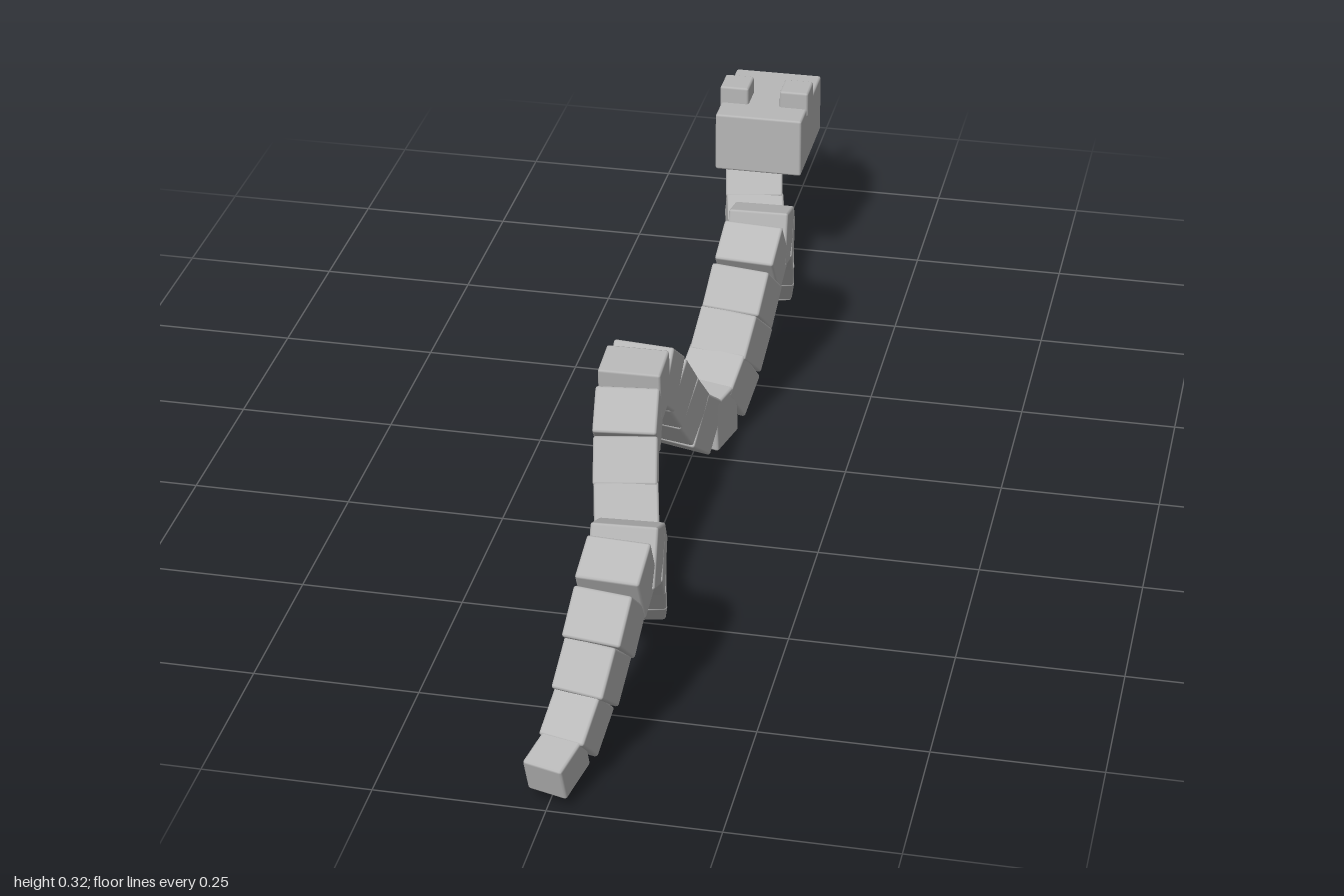
import * as THREE from 'three';
import { RoundedBoxGeometry } from 'three/addons/geometries/RoundedBoxGeometry.js';

// Centre line of the body: a tall wave in y, a slower sway in x
class BodyCurve extends THREE.Curve {
  getPoint(t, target = new THREE.Vector3()) {
    const z = -0.725 + t * 1.713;
    const y = 0.156 + 0.104 * Math.cos((2 * Math.PI * (z + 0.313)) / 0.515);
    const x = 0.048 * Math.cos((2 * Math.PI * (z + 0.313)) / 1.03);
    return target.set(x, y, z);
  }
}

export function createModel() {
  const model = new THREE.Group();
  model.name = 'snake';
  const grey = new THREE.MeshStandardMaterial({ color: 0xb8b8b8 });
  grey.name = 'grey';

  const block = (name, w, h, d, x, y, z, radius = 0.004, parent = model) => {
    const mesh = new THREE.Mesh(new RoundedBoxGeometry(w, h, d, 1, radius), grey);
    mesh.name = name;
    mesh.position.set(x, y, z);
    parent.add(mesh);
    return mesh;
  };

  // Body: blocks strung along the curve, tapering over the last few
  const body = new THREE.Group();
  body.name = 'body';
  model.add(body);
  const count = 32;
  const curve = new BodyCurve();
  curve.arcLengthDivisions = 800;
  const points = curve.getSpacedPoints(count);
  const taper = [0.63, 0.72, 0.81, 0.9, 0.96];
  for (let i = 0; i < count; i++) {
    const a = points[i], b = points[i + 1];
    const fromTail = count - 1 - i;
    const s = fromTail < taper.length ? taper[fromTail] : 1;
    const mid = a.clone().add(b).multiplyScalar(0.5);
    const segment = block(fromTail < taper.length ? 'tailSegment' : 'bodySegment',
      0.098 * s, 0.09 * s, a.distanceTo(b) + 0.003, mid.x, mid.y, mid.z, 0.004, body);
    segment.lookAt(b);
  }

  // Head and snout, facing the back
  const cx = -0.019;
  block('head', 0.15, 0.104, 0.194, cx, 0.252, -0.752);
  block('snout', 0.122, 0.07, 0.08, cx, 0.24, -0.87);

  // Eyes with thin pupils on their forward faces
  for (const side of [-1, 1]) {
    const x = cx + side * 0.052;
    block('eye', 0.05, 0.045, 0.054, x, 0.311, -0.733);
    block('pupil', 0.03, 0.018, 0.008, x, 0.316, -0.761, 0.002);
  }

  // Forked tongue
  block('tongue', 0.02, 0.008, 0.06, cx, 0.218, -0.93, 0.001);
  for (const side of [-1, 1]) {
    const fork = block('tongueFork', 0.013, 0.008, 0.056, cx + side * 0.018, 0.218, -0.974, 0.001);
    fork.rotation.y = -side * 0.6;
  }

  return model;
}
